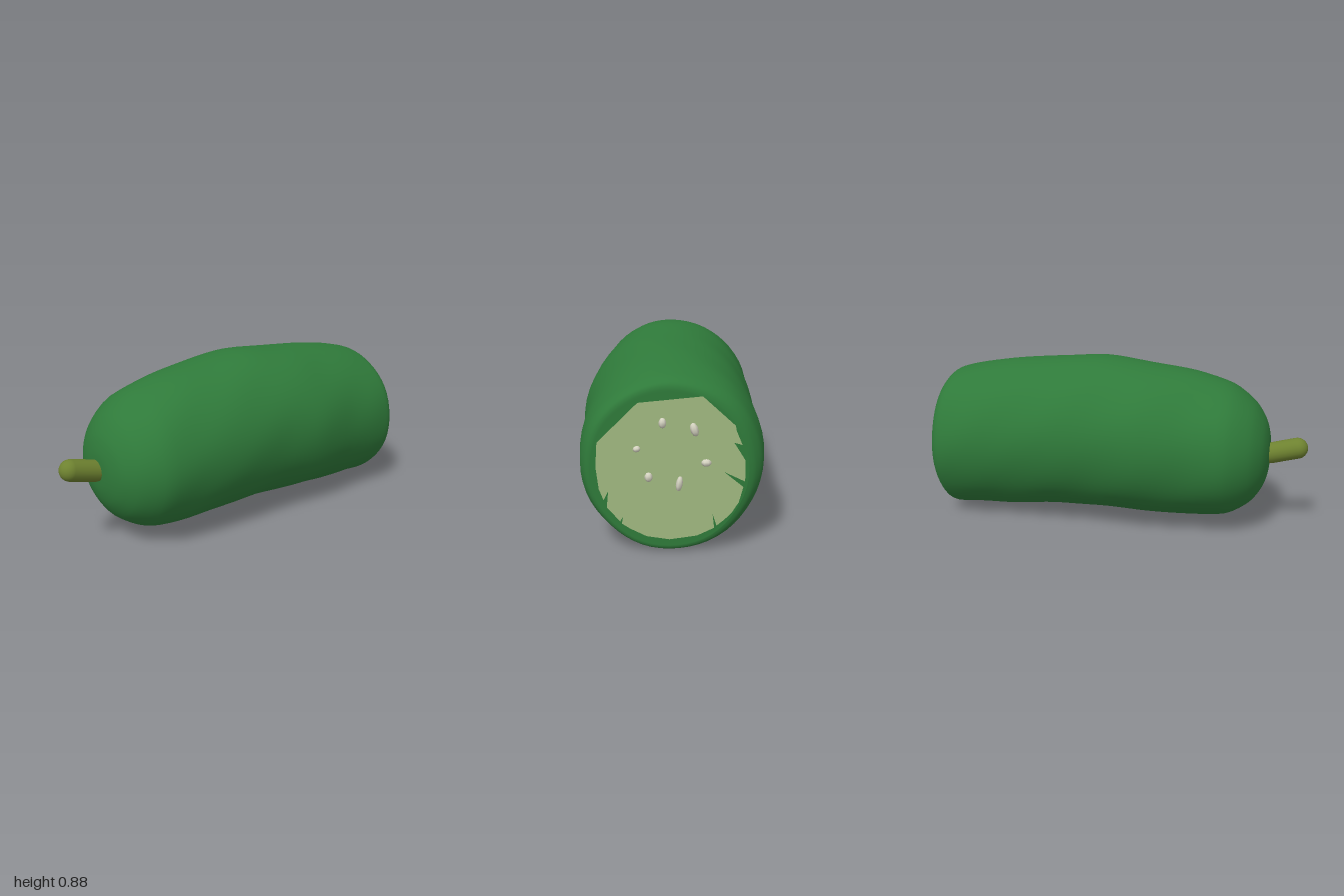
import * as THREE from 'three';

const mat = (name, color) => {
  const m = new THREE.MeshStandardMaterial({ color });
  m.name = name;
  return m;
};

// Cross-sections along the body: x, top y, bottom y, back z, front z
const SECTIONS = [
  [-0.81, 0.41, 0.41, 0, 0],
  [-0.805, 0.5, 0.31, -0.1, 0.1],
  [-0.78, 0.585, 0.225, -0.19, 0.19],
  [-0.72, 0.675, 0.14, -0.28, 0.275],
  [-0.6, 0.765, 0.07, -0.36, 0.352],
  [-0.4, 0.823, 0.046, -0.382, 0.375],
  [-0.15, 0.86, 0.05, -0.428, 0.395],
  [0.1, 0.888, 0.05, -0.416, 0.4],
  [0.35, 0.87, 0.04, -0.42, 0.424],
  [0.6, 0.85, 0.018, -0.416, 0.405],
  [0.8, 0.82, 0.012, -0.425, 0.402],
  [0.92, 0.793, 0.004, -0.408, 0.39],
  [0.965, 0.772, 0.012, -0.375, 0.37],
  [0.979, 0.748, 0.028, -0.345, 0.35],
  [0.98, 0.69, 0.075, -0.31, 0.305],
  [0.98, 0.4, 0.4, 0, 0],
];

// Smooth skin lofted through the sections, with faint lumps
function bodyGeometry(steps = 4, sides = 56) {
  const curve = (a, b) => new THREE.CatmullRomCurve3(
    SECTIONS.map((s) => new THREE.Vector3(s[0], s[a], s[b])), false, 'catmullrom', 0.4);
  const vertical = curve(1, 2), sideways = curve(3, 4);
  const rings = (SECTIONS.length - 1) * steps;
  const pos = [], index = [];
  for (let i = 0; i <= rings; i++) {
    const v = vertical.getPoint(i / rings), w = sideways.getPoint(i / rings);
    const cy = (v.y + v.z) / 2, ry = (v.y - v.z) / 2;
    const cz = (w.y + w.z) / 2, rz = (w.z - w.y) / 2;
    for (let j = 0; j < sides; j++) {
      const a = (j / sides) * Math.PI * 2;
      const lump = 1 + 0.009 * Math.sin(2 * a) * Math.sin(5 * a + 9 * v.x) * Math.cos(7 * v.x);
      pos.push(Math.min(v.x, 0.98), cy + ry * Math.cos(a) * lump, cz + rz * Math.sin(a) * lump);
      if (i < rings) {
        const k = (j + 1) % sides, p = i * sides, q = p + sides;
        index.push(p + j, p + k, q + j, p + k, q + k, q + j);
      }
    }
  }
  const g = new THREE.BufferGeometry();
  g.setAttribute('position', new THREE.Float32BufferAttribute(pos, 3));
  g.setIndex(index);
  g.computeVertexNormals();
  return g;
}

// Outline of the cut face (z, y), with small slits where skin shows through
const CUT = [
  [0.135, 0.685], [-0.14, 0.713], [-0.28, 0.585], [-0.283, 0.565], [-0.31, 0.5],
  [-0.275, 0.51], [-0.325, 0.43], [-0.325, 0.335], [-0.235, 0.378], [-0.318, 0.31],
  [-0.3, 0.24], [-0.27, 0.19], [-0.235, 0.155], [-0.205, 0.13], [-0.187, 0.185],
  [-0.195, 0.12], [-0.12, 0.083], [0, 0.065], [0.1, 0.08], [0.17, 0.115],
  [0.208, 0.14], [0.202, 0.172], [0.215, 0.15], [0.272, 0.215], [0.265, 0.29],
  [0.285, 0.248], [0.305, 0.3], [0.317, 0.4], [0.31, 0.51],
];

// Seeds: z, y, half height, half width, tilt
const SEEDS = [
  [0.03, 0.597, 0.024, 0.017, 0], [-0.105, 0.568, 0.032, 0.018, 0.3],
  [0.14, 0.482, 0.014, 0.017, 0.2], [-0.157, 0.42, 0.017, 0.023, 0],
  [0.09, 0.355, 0.022, 0.018, 0], [-0.042, 0.325, 0.036, 0.015, -0.15],
];

export function createModel() {
  const group = new THREE.Group();
  group.name = 'cutCucumber';
  const add = (name, geometry, material) => {
    const mesh = new THREE.Mesh(geometry, material);
    mesh.name = name;
    group.add(mesh);
    return mesh;
  };

  add('skin', bodyGeometry(), mat('dark green', 0x2f7a3a));

  // Pale cut face, turned to look along +x
  const shape = new THREE.Shape(CUT.map(([z, y]) => new THREE.Vector2(-z, y)));
  const face = add('cutFace', new THREE.ShapeGeometry(shape), mat('pale green', 0xa0b880));
  face.rotation.y = Math.PI / 2;
  face.position.x = 0.983;

  // Stubby stem
  const stem = add('stem', new THREE.CapsuleGeometry(0.055, 0.14, 8, 20), mat('olive', 0x6e8230));
  stem.position.set(-0.88, 0.426, -0.007);
  stem.rotation.z = Math.PI / 2 - 0.26;

  // Seeds poking out of the cut face
  const seedGeometry = new THREE.SphereGeometry(1, 7, 5);
  const cream = mat('cream', 0xd6d4c2);
  for (const [z, y, h, w, tilt] of SEEDS) {
    const seed = add('seed', seedGeometry, cream);
    seed.position.set(0.981, y, z);
    seed.scale.set(0.019, h, w);
    seed.rotation.x = tilt;
  }
  return group;
}
